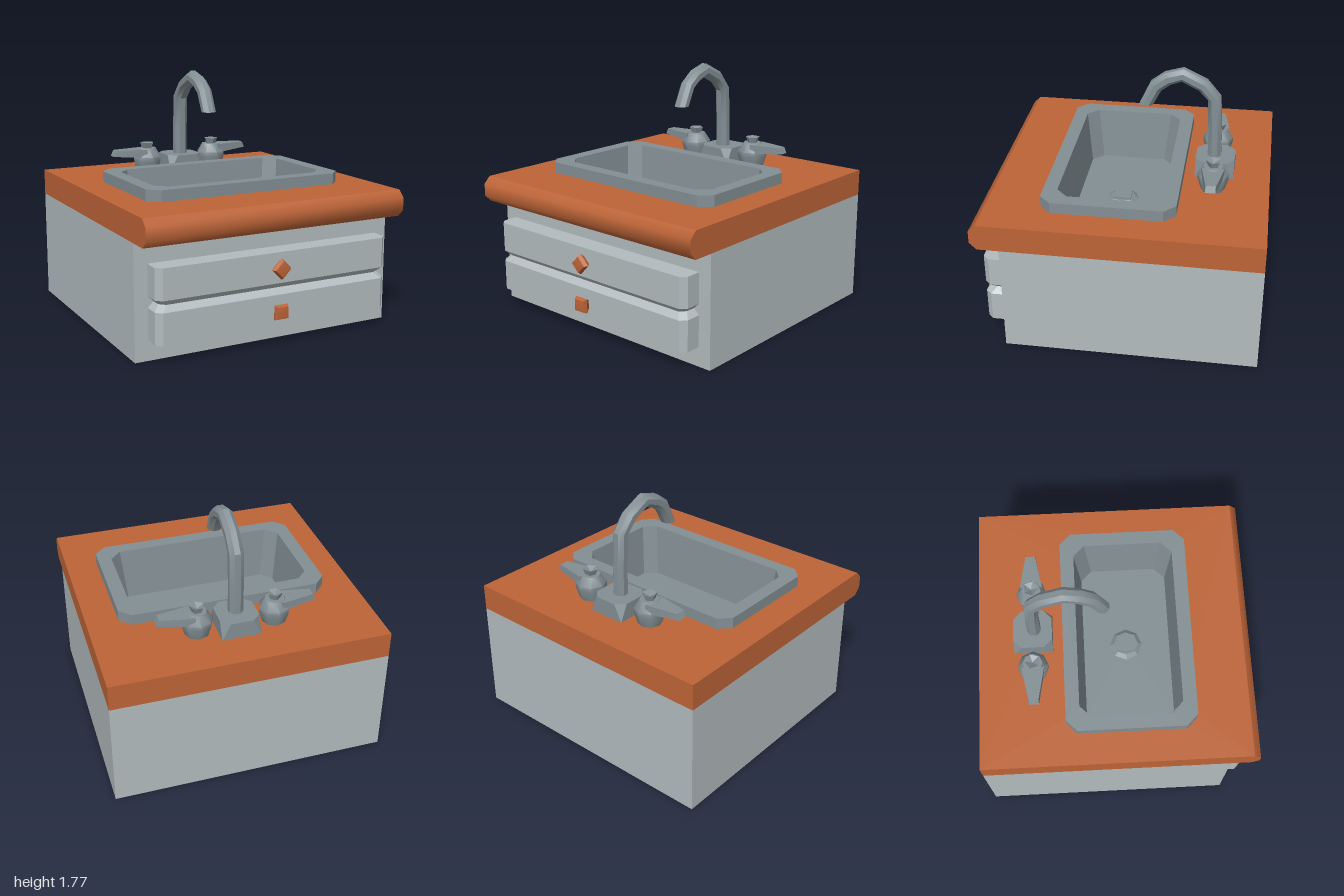
import * as THREE from 'three';
import { toCreasedNormals } from 'three/addons/utils/BufferGeometryUtils.js';

const material = (name, color) => {
  const m = new THREE.MeshStandardMaterial({ color });
  m.name = name;
  return m;
};

// Rectangle with cut corners at height y, as eight points
function cutRect(x, z0, z1, cut, y) {
  return [[x, z1 - cut], [x - cut, z1], [cut - x, z1], [-x, z1 - cut],
    [-x, z0 + cut], [cut - x, z0], [x - cut, z0], [x, z0 + cut]]
    .map(([px, pz]) => new THREE.Vector3(px, y, pz));
}

// Skin between matching rings, closed at both ends (or only the last)
function loft(rings, crease = 0.1, capStart = true) {
  const pos = [];
  const tri = (...pts) => pts.forEach((p) => pos.push(p.x, p.y, p.z));
  const middle = (ring) => ring.reduce((s, p) => s.add(p), new THREE.Vector3()).divideScalar(ring.length);
  const n = rings[0].length;
  const first = rings[0], last = rings[rings.length - 1];
  const c0 = middle(first), c1 = middle(last);
  for (let i = 0; i < n; i++) {
    const j = (i + 1) % n;
    for (let k = 0; k < rings.length - 1; k++) {
      const a = rings[k], b = rings[k + 1];
      tri(a[i], b[i], a[j]);
      tri(b[i], b[j], a[j]);
    }
    if (capStart) tri(c0, first[i], first[j]);
    tri(c1, last[j], last[i]);
  }
  const g = new THREE.BufferGeometry();
  g.setAttribute('position', new THREE.Float32BufferAttribute(pos, 3));
  return toCreasedNormals(g, crease);
}

function turned(points, sides, crease) {
  const profile = points.map(([r, y]) => new THREE.Vector2(r, y));
  return toCreasedNormals(new THREE.LatheGeometry(profile, sides), crease);
}

export function createModel() {
  const model = new THREE.Group();
  model.name = 'sinkCabinet';
  const paint = material('pale grey paint', 0xb2bbbe);
  const wood = material('orange wood', 0xbd6437);
  const metal = material('grey metal', 0x838f94);

  const add = (name, geometry, mat, parent = model) => {
    const mesh = new THREE.Mesh(geometry, mat);
    mesh.name = name;
    parent.add(mesh);
    return mesh;
  };

  // Cabinet, open at the top where the basin hangs in
  const box = new THREE.BoxGeometry(1.97, 0.8, 1.78).translate(0, 0.4, -0.11);
  box.setIndex(Array.from(box.index.array).filter((_, i) => i < 12 || i > 17));
  box.clearGroups();
  add('cabinet', box, paint);

  // Drawers, each narrowing towards the gap between them
  const full = (y) => cutRect(0.89, 0.7, 0.93, 0.04, y);
  const narrow = (y) => cutRect(0.85, 0.7, 0.89, 0.04, y);
  add('upperDrawer', loft([narrow(0.4), full(0.44), full(0.655)]), paint);
  add('lowerDrawer', loft([full(0.14), full(0.36), narrow(0.4)]), paint);

  // Four-sided drawer knobs, one on its point and one square
  for (const [name, y, turn] of [['upperKnob', 0.548, 0], ['lowerKnob', 0.25, Math.PI / 4]]) {
    const g = turned([[0.045, 0], [0.074, 0.035], [0.058, 0.062], [0, 0.07]], 4, 0.6);
    const knob = add(name, g.rotateX(Math.PI / 2), wood);
    knob.position.set(0, y, 0.93);
    knob.rotation.z = turn;
  }

  // Countertop with the basin cut out, and its rounded front edge
  const top = new THREE.Shape([[-0.985, -1], [0.985, -1], [0.985, 0.93], [-0.985, 0.93]]
    .map(([x, z]) => new THREE.Vector2(x, z)));
  top.holes.push(new THREE.Path(cutRect(0.665, -0.29, 0.455, 0.08, 0)
    .map((p) => new THREE.Vector2(p.x, p.z))));
  add('countertop', new THREE.ExtrudeGeometry(top, { depth: 0.19, bevelEnabled: false })
    .rotateX(Math.PI / 2).translate(0, 0.99, 0), wood);
  const edge = new THREE.Shape([[0.93, 0.8], [0.93, 0.99], [0.98, 0.94], [0.98, 0.85]]
    .map(([z, y]) => new THREE.Vector2(-z, y)));
  const edgeGeometry = new THREE.ExtrudeGeometry(edge, { depth: 1.97, bevelEnabled: false })
    .rotateY(Math.PI / 2).translate(-0.985, 0, 0);
  add('countertopEdge', toCreasedNormals(edgeGeometry, 1), wood);

  // Basin: raised rim, sloping walls and floor
  add('basin', loft([
    cutRect(0.76, -0.385, 0.55, 0.08, 0.99),
    cutRect(0.76, -0.385, 0.55, 0.08, 1.07),
    cutRect(0.66, -0.285, 0.45, 0.08, 1.07),
    cutRect(0.62, -0.24, 0.41, 0.08, 0.68),
  ], 0.1, false), metal);

  // Drain: low eight-sided collar with a square sunken centre
  add('drain', turned([[0.122, 0], [0.09, 0.025], [0.08, 0.025]], 8, 0.3), metal)
    .position.set(0, 0.68, 0.08);
  add('drainPlug', new THREE.BoxGeometry(0.13, 0.025, 0.13), metal).position.set(0, 0.705, 0.08);
  add('drainTop', new THREE.CylinderGeometry(0.085, 0.085, 0.02, 8), metal)
    .position.set(0, 0.695, 0.08);

  // Faucet foot: square below, cut corners on top
  add('faucetBase', loft([
    cutRect(0.14, -0.74, -0.46, 0.001, 0.99),
    cutRect(0.14, -0.74, -0.46, 0.06, 1.112),
  ]), metal);

  // Spout: eight-sided section swept along a hooked path of [y, z]
  const path = [[1.1, -0.59], [1.3, -0.588], [1.56, -0.573], [1.655, -0.49], [1.725, -0.345],
    [1.69, -0.24], [1.63, -0.16], [1.485, -0.09]];
  const rings = path.map(([y, z], i) => {
    const a = path[Math.max(i - 1, 0)], b = path[Math.min(i + 1, path.length - 1)];
    const t = new THREE.Vector2(b[0] - a[0], b[1] - a[1]).normalize();
    if (i === path.length - 1) t.set(-1, 0);
    return Array.from({ length: 8 }, (_, k) => {
      const angle = (k + 0.5) * Math.PI / 4;
      const s = Math.sin(angle) * 0.052;
      return new THREE.Vector3(Math.cos(angle) * 0.054, y - t.y * s, z + t.x * s);
    });
  });
  add('spout', loft(rings, 0.6), metal);

  // Tap handles: bulging body, tapered lever and a flared cap
  for (const side of [1, -1]) {
    const handle = new THREE.Group();
    handle.name = side > 0 ? 'leftHandle' : 'rightHandle';
    add('handleBody', turned([[0.085, 0.99], [0.11, 1.07], [0.11, 1.105], [0.07, 1.17], [0, 1.17]], 8, 0.85),
      metal, handle);
    add('handleCap', turned([[0.035, 1.16], [0.055, 1.212], [0, 1.185]], 5, 0.4), metal, handle);
    const lever = new THREE.BoxGeometry(1, 1, 1);
    const p = lever.attributes.position;
    for (let i = 0; i < p.count; i++) {
      const tip = p.getX(i) > 0, upper = p.getY(i) > 0;
      const x = tip ? (upper ? 0.27 : 0.29) : 0.03;
      const y = upper ? 1.166 : (tip ? 1.122 : 1.1);
      p.setXYZ(i, x, y, Math.sign(p.getZ(i)) * (tip ? 0.035 : 0.08));
    }
    lever.computeVertexNormals();
    add('lever', lever, metal, handle);
    handle.position.set(0.278 * side, 0, -0.6);
    handle.rotation.y = side > 0 ? 0 : Math.PI;
    model.add(handle);
  }

  return model;
}
